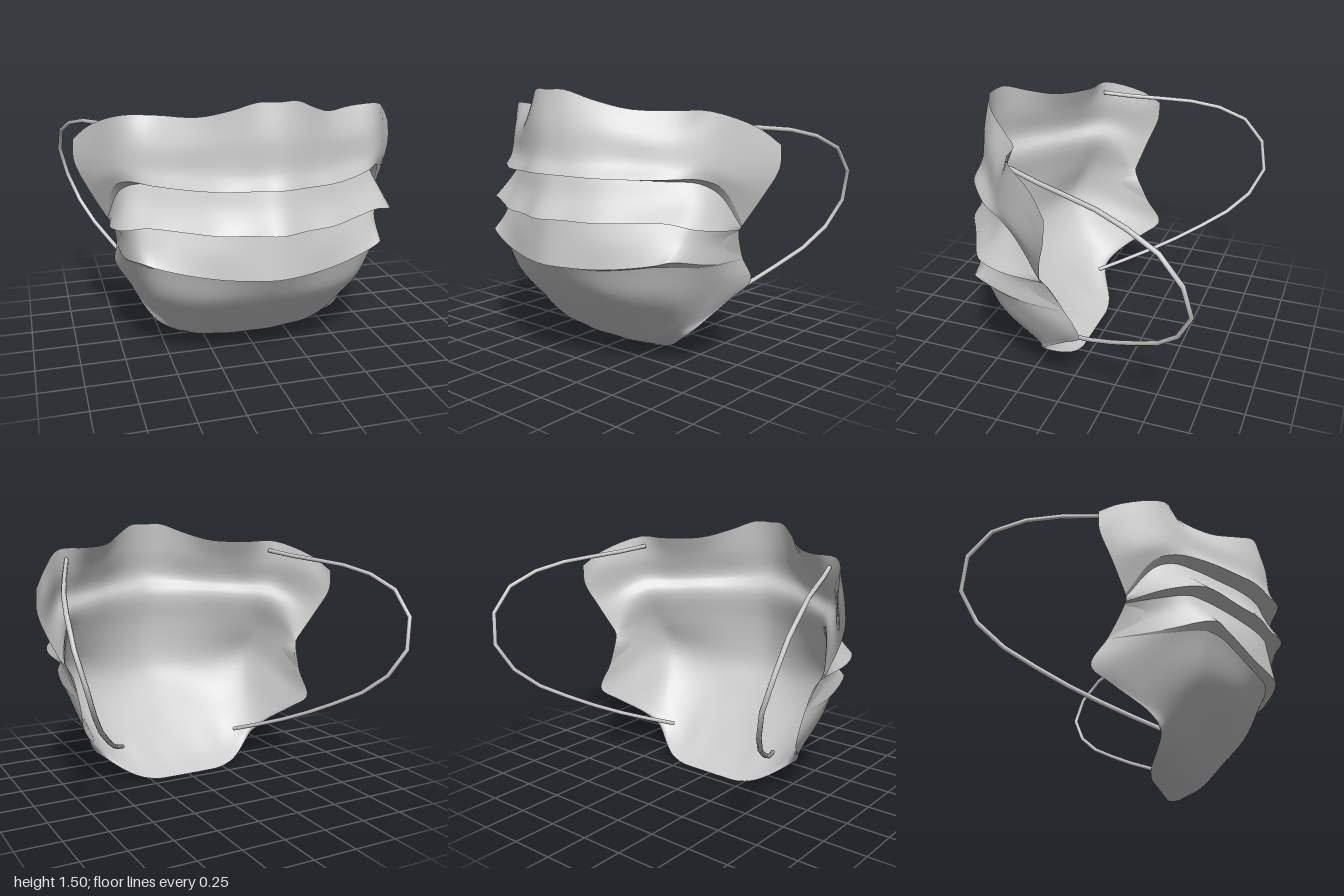
import * as THREE from 'three';

const material = new THREE.MeshStandardMaterial({ color: 0xcccccc, side: THREE.DoubleSide });

// Each cross-section runs from the centre line to the model's left edge; the other half is mirrored.
const upperRows = [
  [[0, 1.5, .68], [.1, 1.5, .66], [.22, 1.45, .58], [.36, 1.4, .44], [.55, 1.395, .29], [.72, 1.395, .25], [.87, 1.31, .05], [.95, 1.22, -.05]],
  [[0, 1.32, .72], [.12, 1.32, .69], [.25, 1.3, .61], [.4, 1.27, .5], [.57, 1.25, .38], [.73, 1.25, .27], [.87, 1.2, .07], [.95, 1.1, -.04]],
  [[0, 1.16, .735], [.14, 1.15, .7], [.28, 1.14, .63], [.43, 1.13, .52], [.59, 1.12, .41], [.73, 1.12, .29], [.83, 1.05, .14], [.89, .96, .01]],
  [[0, 1.075, .775], [.15, 1.07, .73], [.3, 1.065, .68], [.46, 1.06, .57], [.6, 1.06, .45], [.71, 1.055, .31], [.77, 1, .2], [.8, .8, .06]],
];
const middleRows = [
  [[0, 1.06, .67], [.14, 1.055, .64], [.27, 1.05, .58], [.42, 1.045, .48], [.56, 1.04, .38], [.67, 1.03, .28], [.74, .97, .19], [.79, .79, .06]],
  [[0, .96, .71], [.15, .955, .67], [.3, .95, .61], [.45, .945, .52], [.6, .94, .42], [.72, .93, .33], [.77, .87, .22], [.79, .785, .06]],
  [[0, .84, .78], [.15, .84, .73], [.31, .84, .69], [.48, .845, .59], [.64, .85, .5], [.75, .825, .43], [.8, .8, .28], [.78, .77, .06]],
];
const lowerRows = [
  [[0, .835, .69], [.14, .835, .66], [.28, .835, .6], [.44, .84, .51], [.58, .84, .42], [.68, .82, .36], [.74, .79, .24], [.77, .765, .05]],
  [[0, .71, .71], [.15, .71, .68], [.3, .715, .63], [.45, .725, .56], [.6, .73, .48], [.68, .74, .4], [.73, .71, .22], [.74, .7, .02]],
  [[0, .585, .73], [.15, .585, .7], [.3, .59, .65], [.45, .61, .6], [.6, .64, .54], [.67, .66, .5], [.73, .61, .25], [.735, .59, -.05]],
];
const chinRows = [
  [[0, .57, .67], [.14, .57, .65], [.28, .575, .61], [.43, .595, .56], [.57, .62, .5], [.65, .62, .44], [.72, .595, .25], [.735, .59, -.05]],
  [[0, .42, .57], [.14, .42, .56], [.27, .42, .54], [.4, .42, .5], [.53, .43, .44], [.61, .43, .36], [.68, .44, .14], [.74, .45, -.13]],
  [[0, .24, .41], [.13, .24, .4], [.25, .24, .38], [.37, .25, .36], [.48, .26, .31], [.55, .27, .25], [.62, .3, .13], [.68, .36, -.03]],
  [[0, .07, .22], [.12, .07, .22], [.24, .08, .21], [.34, .1, .22], [.43, .14, .22], [.5, .18, .2], [.55, .2, .18], [.6, .24, .13]],
  [[0, 0, .06], [.11, 0, .06], [.22, .005, .06], [.32, .03, .08], [.4, .07, .12], [.47, .12, .16], [.52, .16, .18], [.56, .19, .17]],
];

// Smooth sheet through mirrored cross-sections listed from top to bottom
function loft(name, rows, down = 6 * (rows.length - 1), across = 56) {
  const sections = rows.map((row) => {
    const half = row.map((p) => new THREE.Vector3(...p));
    const mirrored = half.slice(1).reverse().map((p) => new THREE.Vector3(-p.x, p.y, p.z));
    return new THREE.CatmullRomCurve3([...mirrored, ...half]).getPoints(across);
  });
  const geometry = new THREE.PlaneGeometry(1, 1, across, down);
  const position = geometry.attributes.position;
  for (let j = 0; j <= across; j++) {
    const points = sections.map((s) => s[j]);
    const column = new THREE.CatmullRomCurve3(points);
    for (let i = 0; i <= down; i++) {
      const p = column.getPoint(i / down);
      position.setXYZ(i * (across + 1) + j, p.x, p.y, p.z);
    }
  }
  geometry.computeVertexNormals();
  const mesh = new THREE.Mesh(geometry, material);
  mesh.name = name;
  return mesh;
}

// Inner layer follows the tucked lines of the cloth and meets the outer layer at the rim
function liningRows() {
  const rows = [...upperRows.slice(0, 3), middleRows[0], lowerRows[0], ...chinRows];
  return rows.map((row, i) => row.map(([x, y, z], j) => {
    const rim = i === 0 || i === rows.length - 1 || j === row.length - 1;
    return rim ? [x, y, z] : [x * .98, y, z - .02];
  }));
}

// Thin cord from the inner top corner round the ear to the lower rim
function earLoop(name, side) {
  const path = [[.68, 1.335, .25], [.75, 1.31, .06], [.88, 1.275, -.3], [.95, 1.22, -.5], [.985, 1.13, -.66],
    [.985, .99, -.75], [.94, .82, -.77], [.855, .63, -.65], [.7, .45, -.38], [.55, .31, -.1], [.39, .2, .18]];
  const curve = new THREE.CatmullRomCurve3(path.map(([x, y, z]) => new THREE.Vector3(side * x, y, z)));
  const mesh = new THREE.Mesh(new THREE.TubeGeometry(curve, 14, .013, 8), material);
  mesh.name = name;
  return mesh;
}

export function createModel() {
  const group = new THREE.Group();
  group.name = 'pleatedFaceMask';

  // Outer cloth panels
  const panels = [upperRows, middleRows, lowerRows, chinRows];
  const names = ['upperPanel', 'middlePanel', 'lowerPanel', 'chinPanel'];
  panels.forEach((rows, i) => group.add(loft(names[i], rows)));

  // Folds tucked under each pleat
  for (let i = 0; i < 3; i++) {
    group.add(loft('pleatFold' + (i + 1), [panels[i].at(-1), panels[i + 1][0]], 2));
  }

  group.add(loft('lining', liningRows(), 40));
  group.add(earLoop('leftEarLoop', 1), earLoop('rightEarLoop', -1));
  return group;
}
